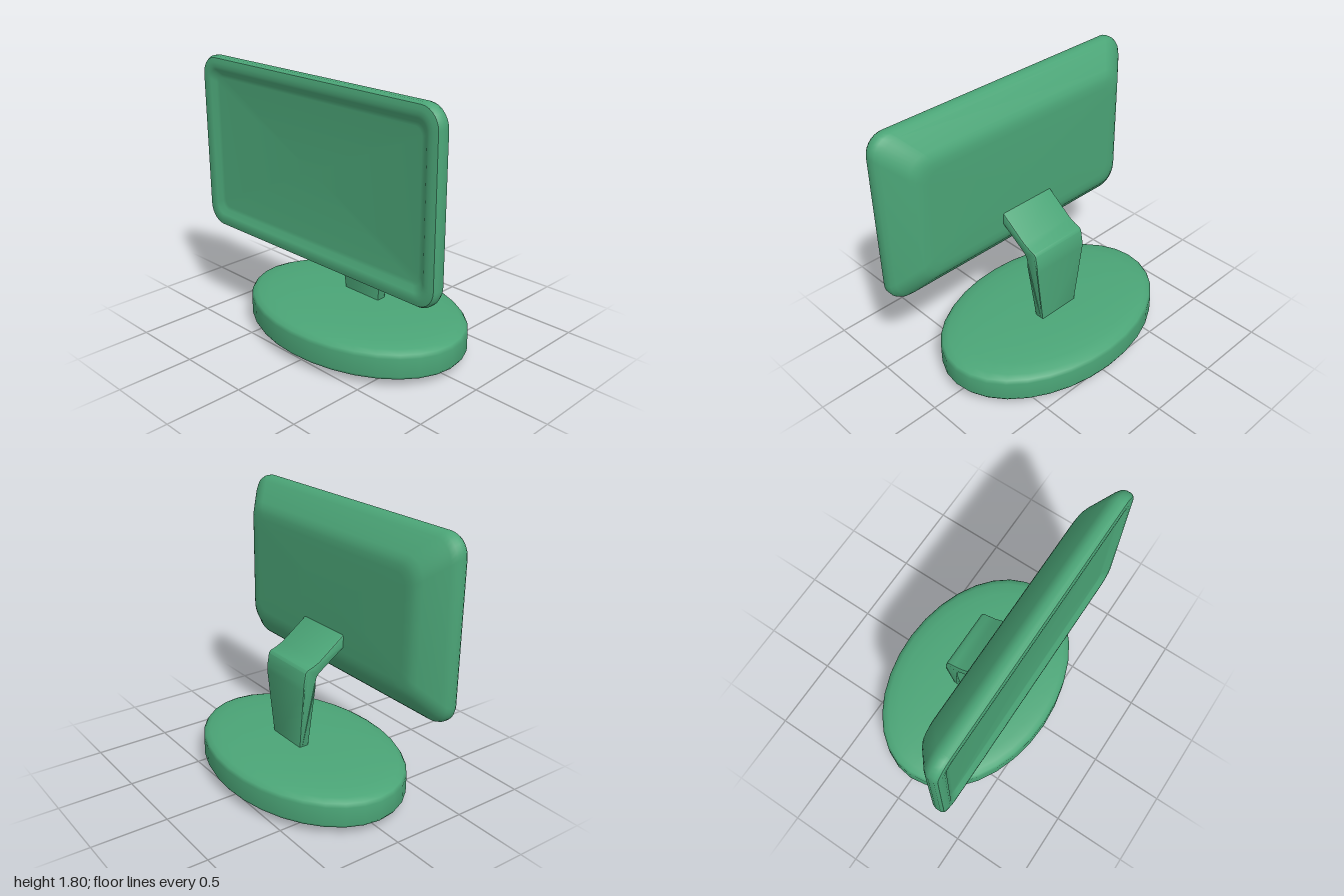
import * as THREE from 'three';
import { toCreasedNormals } from 'three/addons/utils/BufferGeometryUtils.js';

const CORNER_STEPS = 7;

// Rounded rectangle in the z-y plane, counter-clockwise seen from -x
function roundedRing(halfZ, halfY, radius) {
  const points = [];
  const corners = [[1, 1], [-1, 1], [-1, -1], [1, -1]];
  corners.forEach(([sz, sy], q) => {
    for (let i = 0; i <= CORNER_STEPS; i++) {
      const a = (q + i / CORNER_STEPS) * Math.PI / 2;
      points.push([
        sz * (halfZ - radius) + Math.cos(a) * radius,
        sy * (halfY - radius) + Math.sin(a) * radius,
      ]);
    }
  });
  return points;
}

// Skin through rounded rectangles given as [x, inset, radius], capped at both ends
function loftScreen(sections, halfZ, halfY) {
  const positions = [];
  const index = [];
  const n = 4 * (CORNER_STEPS + 1);
  for (const [x, inset, radius] of sections) {
    for (const [z, y] of roundedRing(halfZ - inset, halfY - inset, radius)) positions.push(x, y, z);
  }
  const last = (sections.length - 1) * n;
  const front = sections.length * n;
  positions.push(sections[0][0], 0, 0, sections[sections.length - 1][0], 0, 0);
  for (let i = 0; i < n; i++) {
    const j = (i + 1) % n;
    index.push(front, i, j, front + 1, last + j, last + i);
    for (let k = 0; k < last; k += n) {
      index.push(k + i, k + n + i, k + n + j, k + i, k + n + j, k + j);
    }
  }
  const geometry = new THREE.BufferGeometry();
  geometry.setAttribute('position', new THREE.Float32BufferAttribute(positions, 3));
  geometry.setIndex(index);
  return toCreasedNormals(geometry, 0.7);
}

export function createModel() {
  const group = new THREE.Group();
  const material = new THREE.MeshStandardMaterial({ color: 0x4ba577 });
  const add = (name, geometry) => {
    const mesh = new THREE.Mesh(geometry, material);
    mesh.name = name;
    group.add(mesh);
    return mesh;
  };

  // Screen housing: recessed panel, rounded bezel, sloped back
  const screen = add('screen', loftScreen([
    [-0.39, 0.14, 0.05],
    [-0.393, 0.115, 0.06],
    [-0.415, 0.085, 0.07],
    [-0.42, 0.065, 0.08],
    [-0.42, 0.04, 0.10],
    [-0.413, 0.012, 0.12],
    [-0.395, 0, 0.13],
    [-0.36, 0, 0.13],
    [-0.335, 0.008, 0.13],
    [-0.31, 0.03, 0.13],
    [-0.215, 0.14, 0.12],
    [-0.197, 0.17, 0.11],
    [-0.187, 0.205, 0.10],
    [-0.185, 0.25, 0.08],
  ], 1, 0.5775));
  screen.position.y = 1.2225;

  // Bent stand arm: side profile, widened above the column
  const profile = new THREE.Shape([
    [0.04, 0.2], [0.105, 0.2], [0.12, 0.7], [0.118, 0.74], [0.104, 0.82], [0.09, 0.837],
    [0.05, 0.85], [0.0, 0.873], [-0.185, 1.01], [-0.23, 1.043], [-0.23, 0.95],
    [-0.185, 0.92], [-0.005, 0.797], [0.015, 0.775], [0.022, 0.745], [0.024, 0.7],
  ].map(([x, y]) => new THREE.Vector2(x, y)));
  const bevel = 0.01;
  const halfWidth = 0.207;
  const arm = new THREE.ExtrudeGeometry(profile, {
    depth: 2 * (halfWidth - bevel), bevelSize: bevel, bevelThickness: bevel,
    bevelOffset: -bevel, bevelSegments: 2,
  });
  arm.translate(0, 0, bevel - halfWidth);
  const p = arm.attributes.position;
  for (let i = 0; i < p.count; i++) {
    const t = THREE.MathUtils.clamp((p.getY(i) - 0.2) / 0.5, 0, 1);
    p.setZ(i, p.getZ(i) * THREE.MathUtils.lerp(0.67, 1, t));
  }
  add('standArm', toCreasedNormals(arm, 0.6));

  // Oval base with softly domed top and underside
  const rim = [
    [0, 0], [0.35, 0.003], [0.62, 0.012], [0.82, 0.025], [0.93, 0.04], [0.98, 0.058],
    [1, 0.08], [1, 0.2], [0.98, 0.222], [0.93, 0.24], [0.82, 0.257], [0.62, 0.27],
    [0.35, 0.279], [0, 0.28],
  ].map(([r, y]) => new THREE.Vector2(r, y));
  const base = add('base', new THREE.LatheGeometry(rim, 32));
  base.scale.set(0.57, 1, 0.83);
  base.position.z = -0.015;

  return group;
}
